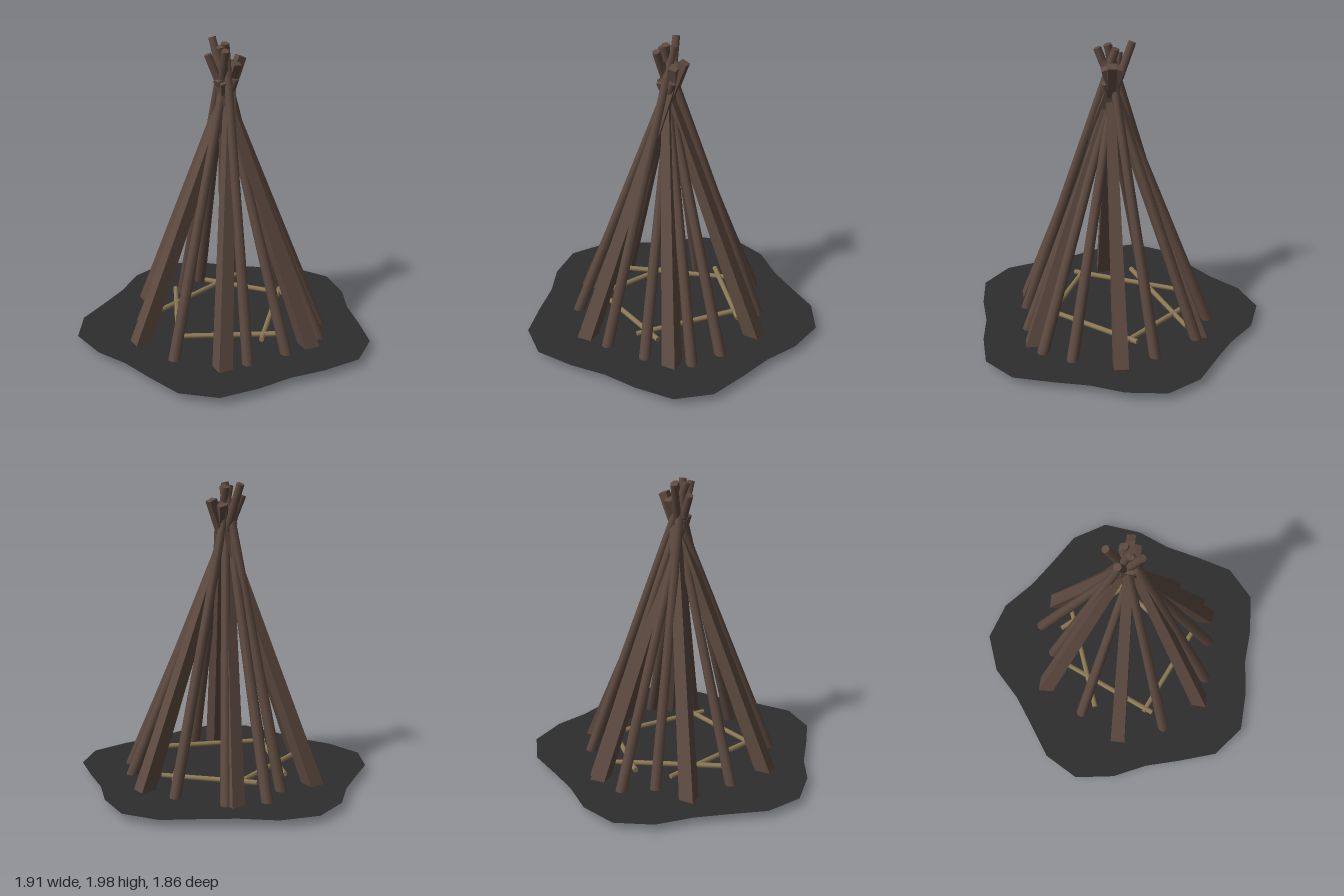
import * as THREE from 'three';

export function createModel() {
  const model = new THREE.Group();
  const bark = new THREE.MeshStandardMaterial({ color: 0x5d4a40 });
  const ash = new THREE.MeshStandardMaterial({ color: 0x2d2d2d, side: THREE.DoubleSide });
  const twigWood = new THREE.MeshStandardMaterial({ color: 0x8b7855 });
  const up = new THREE.Vector3(0, 1, 0);

  // Tapered stick between two points; four sides give a flat-faced squared timber
  function stick(name, from, to, r0, r1, sides, material) {
    const a = new THREE.Vector3(...from), b = new THREE.Vector3(...to);
    const dir = b.clone().sub(a);
    let geo = new THREE.CylinderGeometry(r1, r0, dir.length(), sides);
    if (sides === 4) {
      geo.rotateY(Math.PI / 4);
      geo = geo.toNonIndexed();
      geo.computeVertexNormals();
    }
    const mesh = new THREE.Mesh(geo, material);
    mesh.name = name;
    mesh.position.copy(a).add(b).multiplyScalar(0.5);
    mesh.quaternion.setFromUnitVectors(up, dir.normalize());
    model.add(mesh);
  }

  // Scorched ground patch, mirrored left to right
  const half = [[0, -0.935], [0.245, -0.85], [0.43, -0.68], [0.615, -0.555], [0.825, -0.42],
    [0.955, -0.2], [0.92, 0.06], [0.825, 0.27], [0.765, 0.5], [0.69, 0.745],
    [0.495, 0.91], [0.235, 0.925], [0, 0.905]];
  const outline = [...half, ...half.slice(1, -1).reverse().map(([x, z]) => [-x, z])];
  const patch = new THREE.ShapeGeometry(new THREE.Shape(outline.map(([x, z]) => new THREE.Vector2(x, -z))));
  patch.rotateX(-Math.PI / 2);
  const ground = new THREE.Mesh(patch, ash);
  ground.name = 'groundPatch';
  ground.position.y = 0.055;
  model.add(ground);

  // Six squared timbers, evenly spaced: base direction and top point
  const timberTops = [[-0.05, 1.74, 0.065], [-0.04, 1.73, 0.03], [0.05, 1.84, 0.02],
    [0.1, 1.87, 0.06], [0.05, 1.84, 0.1], [-0.04, 1.73, 0.09]];
  timberTops.forEach((top, i) => {
    const t = i * Math.PI / 3;
    const base = [0.635 * Math.cos(t), 0.028, 0.06 + 0.635 * Math.sin(t)];
    stick('squaredTimber', base, top, 0.068, 0.038, 4, bark);
  });

  // Round poles: base x, z and top x, y, z
  const poles = [
    [-0.495, -0.215, 0.04, 1.74, 0.1], [-0.07, -0.465, -0.02, 1.97, 0.08],
    [0.125, -0.575, -0.05, 1.94, 0.14], [0.365, -0.465, -0.04, 1.86, 0.1],
    [0.55, -0.17, -0.05, 1.95, 0.07], [0.54, 0.365, -0.1, 1.89, 0],
    [0.43, 0.55, -0.05, 1.75, 0.02], [0.13, 0.635, -0.03, 1.975, -0.075],
    [-0.15, 0.635, 0.01, 1.95, 0.03], [-0.54, 0.37, 0.03, 1.84, 0.02],
  ];
  for (const [x, z, tx, ty, tz] of poles) {
    stick('roundPole', [x, 0.03, z], [tx, ty, tz], 0.038, 0.025, 8, bark);
  }

  // Ring of five overlapping twigs inside the frame
  const twigs = [[-0.46, -0.12, 0.33, -0.4], [0.09, -0.42, 0.5, 0.05], [0.48, -0.06, 0.01, 0.52],
    [0.16, 0.51, -0.46, 0.22], [-0.46, 0.28, -0.15, -0.4]];
  for (const [x0, z0, x1, z1] of twigs) {
    stick('twig', [x0, 0.13, z0], [x1, 0.13, z1], 0.018, 0.016, 8, twigWood);
  }
  return model;
}
